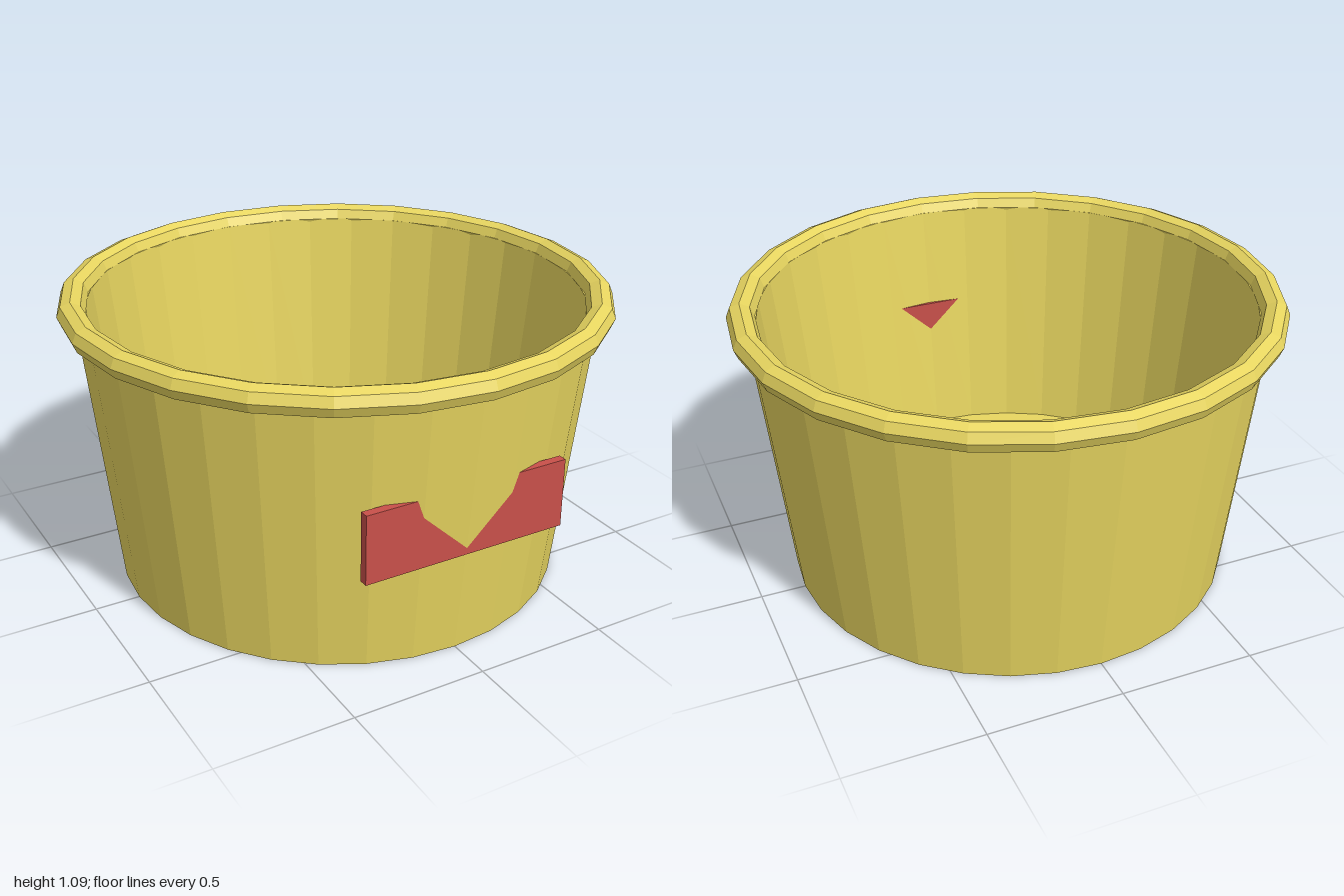
import * as THREE from 'three';

export function createModel() {
  const model = new THREE.Group();
  const yellow = new THREE.MeshStandardMaterial({ color: 0xe8d660, flatShading: true });
  const red = new THREE.MeshStandardMaterial({ color: 0xc8504a, flatShading: true });

  const add = (name, geometry, material, x = 0, y = 0, z = 0) => {
    const mesh = new THREE.Mesh(geometry, material);
    mesh.name = name;
    mesh.position.set(x, y, z);
    model.add(mesh);
  };

  // Tapered cup with wall thickness and a solid floor, as one closed profile
  const profile = [
    [0, 0], [0.833, 0], [0.942, 1.037], [0.898, 1.037], [0.8, 0.1], [0, 0.1],
  ].map(([r, y]) => new THREE.Vector2(r, y));
  add('cup', new THREE.LatheGeometry(profile, 32), yellow);

  // Rolled rim
  add('rim', new THREE.TorusGeometry(0.95, 0.05, 8, 24).rotateX(Math.PI / 2), yellow, 0, 1.037, 0);

  // Flat label plate, sunk through the front wall
  add('labelPlate', new THREE.BoxGeometry(0.78, 0.255, 0.032), red, 0, 0.522, 0.861);

  return model;
}
